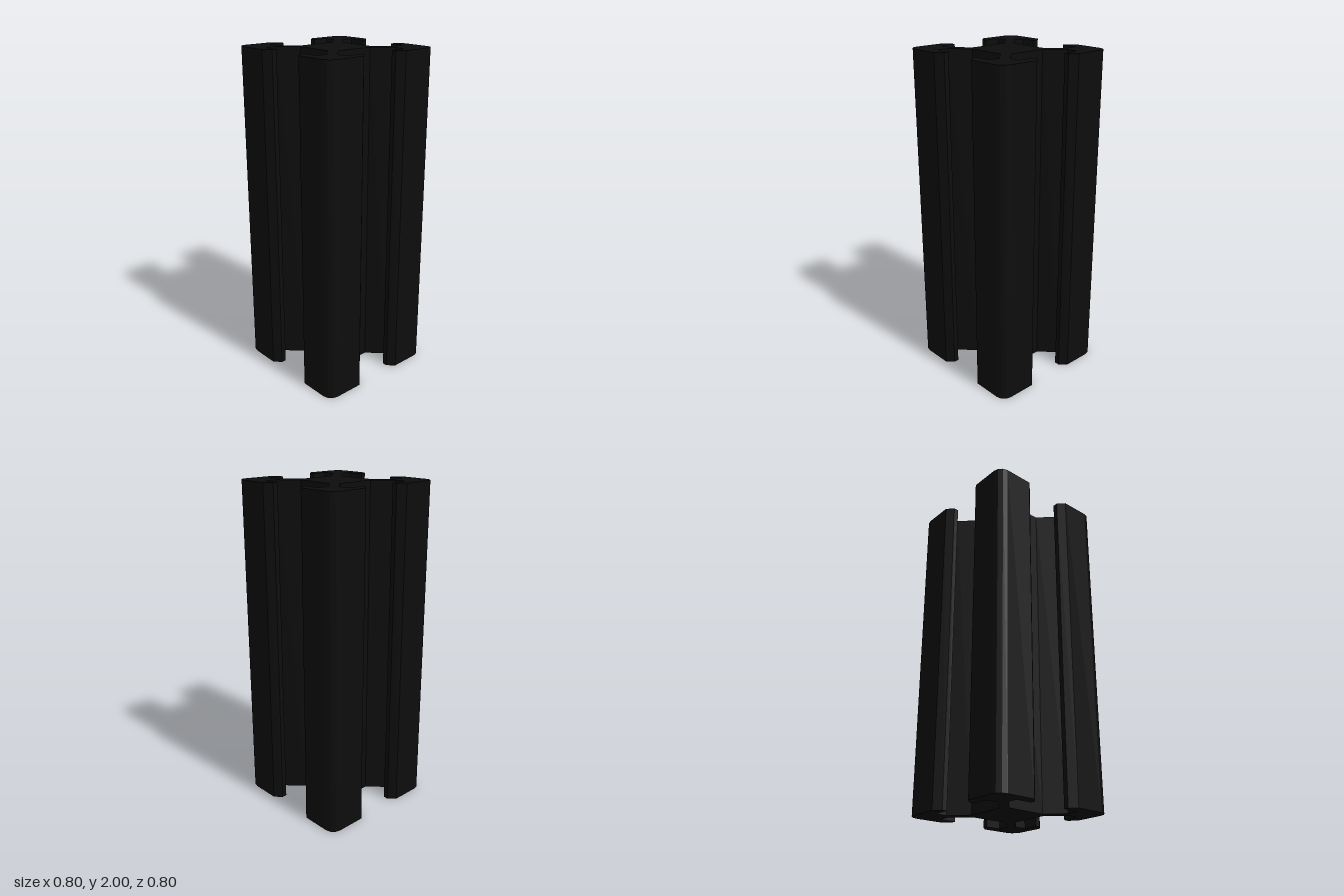
import * as THREE from 'three';

// One corner of the slotted cross-section, counter-clockwise in the +x +y quadrant
function cornerProfile() {
  const r = 0.06, c = 0.4 - r;
  const points = [[0.16, 0.12], [0.26, 0.22], [0.33, 0.22], [0.33, 0.12], [0.36, 0.12], [0.4, 0.16]];
  for (let i = 0; i <= 3; i++) {
    const a = (i / 3) * Math.PI / 2;
    points.push([c + r * Math.cos(a), c + r * Math.sin(a)]);
  }
  points.push([0.16, 0.4], [0.12, 0.36], [0.12, 0.33], [0.22, 0.33], [0.22, 0.26], [0.12, 0.16]);
  return points.map(([x, y]) => new THREE.Vector2(x, y));
}

export function createModel() {
  const group = new THREE.Group();
  group.name = 'slottedRail';

  // Four turned corners make the full outline
  const outline = [];
  for (let q = 0; q < 4; q++) {
    for (const p of cornerProfile()) outline.push(p.rotateAround(new THREE.Vector2(), q * Math.PI / 2));
  }

  // Extrude to full height and stand upright
  const geometry = new THREE.ExtrudeGeometry(new THREE.Shape(outline), { depth: 2, bevelEnabled: false });
  geometry.rotateX(-Math.PI / 2);

  const material = new THREE.MeshStandardMaterial({ color: 0x0d0d0d, flatShading: true });
  const rail = new THREE.Mesh(geometry, material);
  rail.name = 'extrudedRail';
  group.add(rail);
  return group;
}
